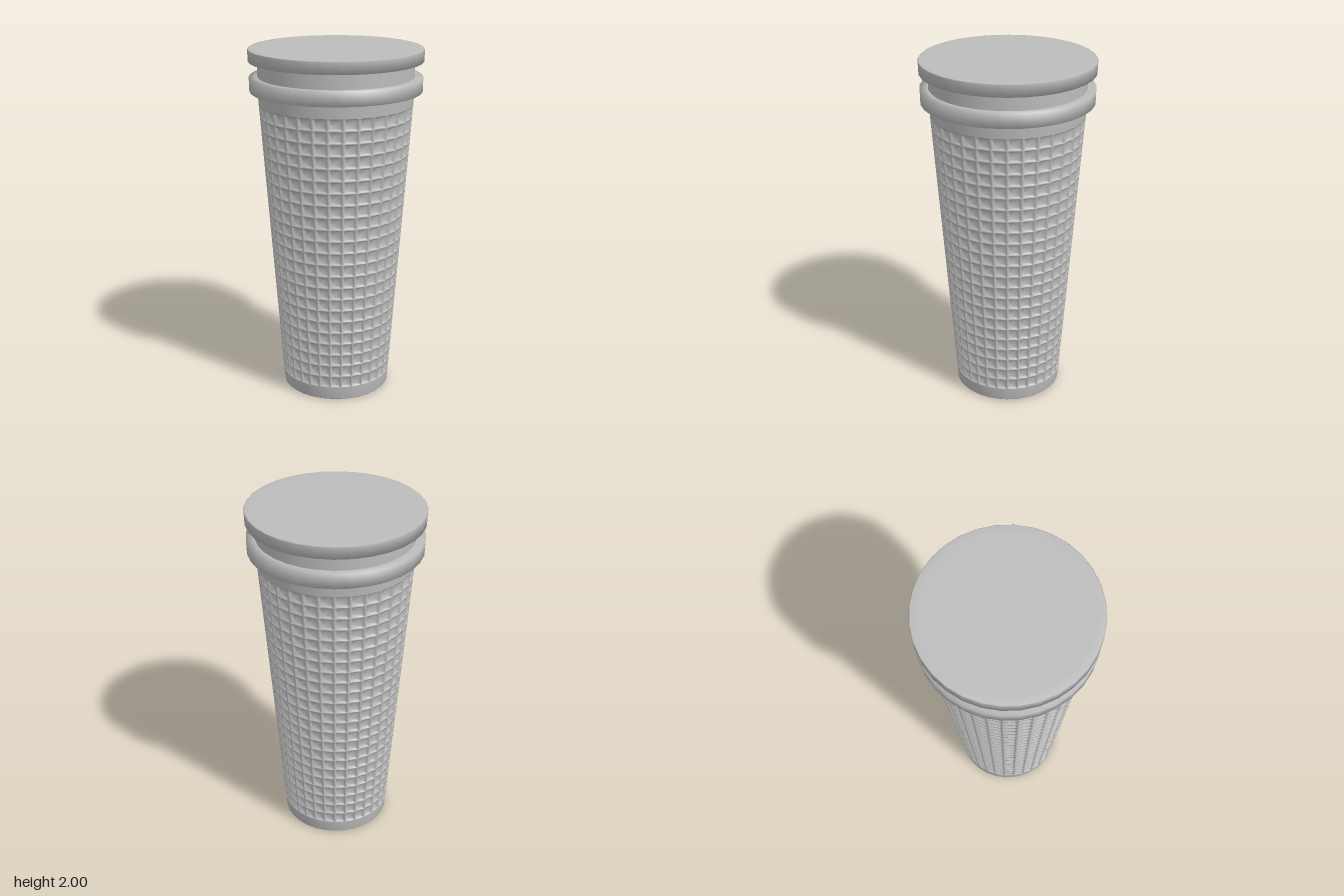
import * as THREE from 'three';

const SIDES = 32, ROWS = 23;
const NET_BOTTOM = 0.08, NET_TOP = 1.69;
const wallRadius = (y) => 0.307 + 0.0745 * y;

const grey = new THREE.MeshStandardMaterial({ color: 0xbcbcbc });
grey.name = 'plain grey';

function addLathe(group, name, points) {
  const profile = points.map(([r, y]) => new THREE.Vector2(r, y));
  const mesh = new THREE.Mesh(new THREE.LatheGeometry(profile, SIDES), grey);
  mesh.name = name;
  group.add(mesh);
}

// Grid of square pockets: each cell has a rib rim, sloping walls and a sunken floor
function waffleWall() {
  const steps = [0.07, 0.2, 0.8, 0.93];
  const depth = 0.016;
  const half = Math.PI / SIDES;
  const rings = [{ y: NET_BOTTOM, sunk: false }];
  for (let row = 0; row < ROWS; row++) {
    steps.forEach((t, i) => rings.push({
      y: NET_BOTTOM + (NET_TOP - NET_BOTTOM) * (row + t) / ROWS,
      sunk: i === 1 || i === 2,
    }));
  }
  rings.push({ y: NET_TOP, sunk: false });

  // Column stops include the rib centre so the outline keeps its corners
  const stops = [0, ...steps];
  const count = SIDES * stops.length;
  const positions = [], indices = [];
  for (const { y, sunk } of rings) {
    for (let c = 0; c < count; c++) {
      const k = c % stops.length;
      const t = stops[k];
      const angle = (Math.floor(c / stops.length) + t) * 2 * half;
      const flat = Math.cos(half) / Math.cos((2 * t - 1) * half);
      const r = wallRadius(y) * flat - (sunk && (k === 2 || k === 3) ? depth : 0);
      positions.push(r * Math.sin(angle), y, r * Math.cos(angle));
    }
  }
  for (let j = 0; j < rings.length - 1; j++) {
    for (let c = 0; c < count; c++) {
      const n = (c + 1) % count;
      const a = j * count + c, b = j * count + n;
      const d = a + count, e = b + count;
      // Turn the diagonal so pocket corners are mitred
      const left = c % stops.length < 2, low = j % 4 < 2;
      if (left === low) indices.push(a, b, e, a, e, d);
      else indices.push(a, b, d, b, e, d);
    }
  }
  const geometry = new THREE.BufferGeometry();
  geometry.setAttribute('position', new THREE.Float32BufferAttribute(positions, 3));
  geometry.setIndex(indices);
  geometry.computeVertexNormals();
  return geometry;
}

export function createModel() {
  const group = new THREE.Group();
  group.name = 'waffleCup';

  addLathe(group, 'base', [[0, 0], [0.298, 0], [0.307, 0.008], [wallRadius(NET_BOTTOM), NET_BOTTOM]]);

  const wall = new THREE.Mesh(waffleWall(), grey);
  wall.name = 'waffleWall';
  group.add(wall);

  // Smooth band above the pockets, then the lower collar
  addLathe(group, 'upperBand', [[wallRadius(NET_TOP), NET_TOP], [0.438, 1.765]]);
  addLathe(group, 'collar', [[0.43, 1.762], [0.483, 1.762], [0.485, 1.843], [0.438, 1.843]]);
  addLathe(group, 'neck', [[0.438, 1.84], [0.438, 1.932]]);

  // Closed top with a softly shaded rim
  addLathe(group, 'lid', [[0.43, 1.93], [0.488, 1.93], [0.49, 1.995], [0.485, 2], [0.44, 2], [0, 2]]);
  return group;
}
